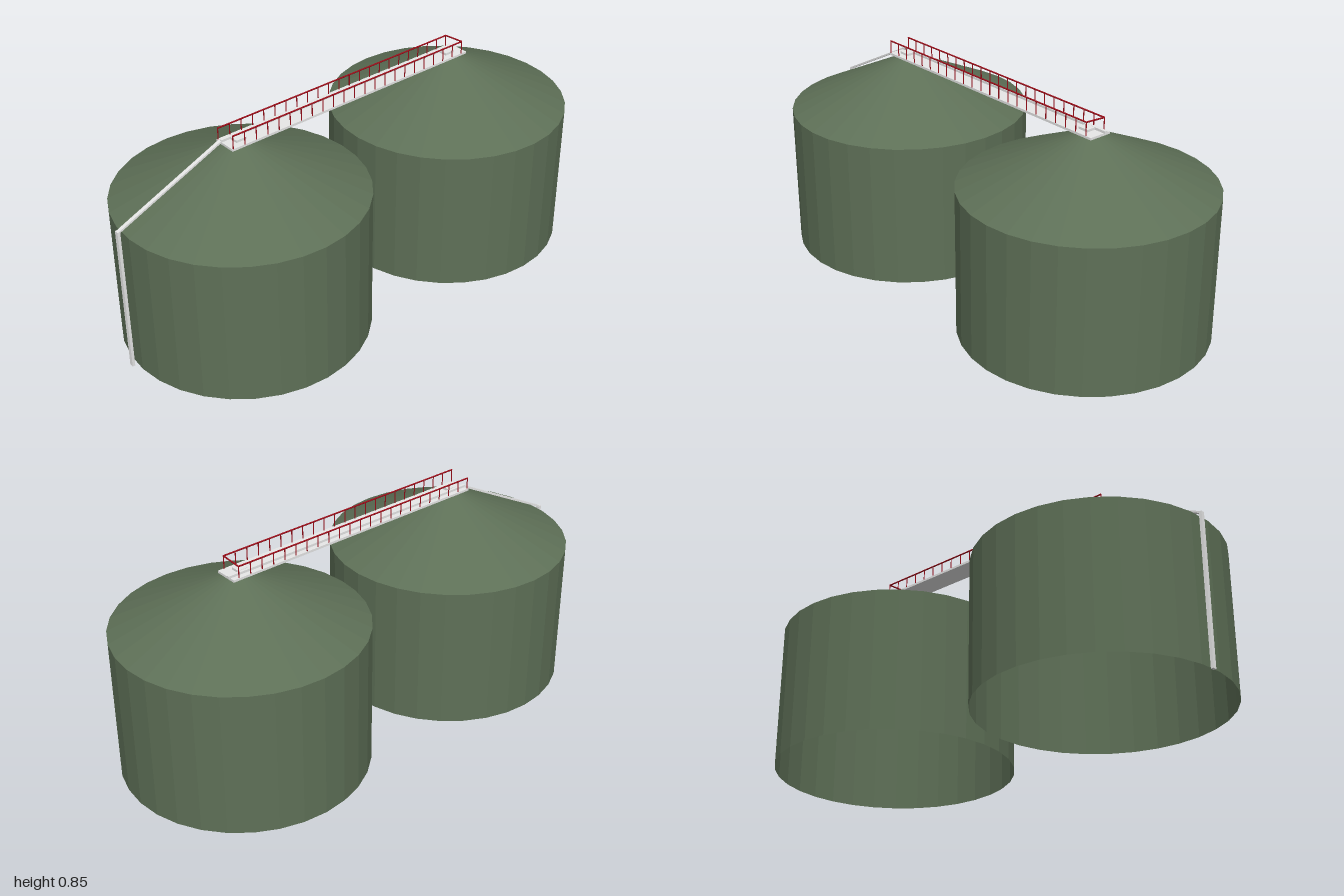
import * as THREE from 'three';

const green = new THREE.MeshStandardMaterial({ name: 'tankGreen', color: 0x5e7057, flatShading: true, side: THREE.DoubleSide });
const lightGrey = new THREE.MeshStandardMaterial({ name: 'lightGrey', color: 0xe8e8e8 });
const red = new THREE.MeshStandardMaterial({ name: 'railRed', color: 0x9a0c18 });

function box(parent, name, w, h, d, x, y, z) {
  const mesh = new THREE.Mesh(new THREE.BoxGeometry(w, h, d), lightGrey);
  mesh.name = name;
  mesh.position.set(x, y, z);
  parent.add(mesh);
  return mesh;
}

// Round rail running between two points
function rod(parent, name, from, to, radius) {
  const a = new THREE.Vector3(...from), b = new THREE.Vector3(...to);
  const geometry = new THREE.CylinderGeometry(radius, radius, a.distanceTo(b), 12);
  geometry.rotateX(Math.PI / 2);
  const mesh = new THREE.Mesh(geometry, red);
  mesh.name = name;
  mesh.position.copy(a).add(b).multiplyScalar(0.5);
  mesh.lookAt(b);
  parent.add(mesh);
}

export function createModel() {
  const model = new THREE.Group();
  model.name = 'storageTanks';

  // Two open-bottomed tanks with conical roofs
  const profile = [[0.475, 0.01], [0.475, 0.582], [0.04, 0.785], [0, 0.785]].map(p => new THREE.Vector2(...p));
  for (const [name, x] of [['rightTank', -0.509], ['leftTank', 0.524]]) {
    const tank = new THREE.Mesh(new THREE.LatheGeometry(profile, 32), green);
    tank.name = name;
    tank.position.x = x;
    model.add(tank);
  }

  // Walkway between the roof peaks
  box(model, 'walkway', 1.145, 0.009, 0.094, 0.003, 0.789, 0);

  // Handrails on both sides, with evenly spaced posts
  const railing = new THREE.Group();
  railing.name = 'railing';
  model.add(railing);
  const x0 = -0.565, x1 = 0.55, count = 22;
  for (const [z, top] of [[0.045, 0.844], [-0.043, 0.838]]) {
    rod(railing, 'handrail', [x0, top, z], [x1, top, z], 0.003);
    for (let i = 0; i <= count; i++) {
      const x = x0 + (x1 - x0) * i / count;
      rod(railing, 'post', [x, 0.79, z], [x, top, z], 0.002);
    }
  }
  rod(railing, 'endRail', [x1, 0.844, 0.045], [x1, 0.838, -0.043], 0.003);

  // Feed pipe along the walkway, down the roof and the tank side
  const pipe = new THREE.Group();
  pipe.name = 'feedPipe';
  model.add(pipe);
  box(pipe, 'topPipe', 1.152, 0.009, 0.011, 0.006, 0.798, -0.022);
  const top = new THREE.Vector3(-0.566, 0.797, -0.025), bend = new THREE.Vector3(-0.992, 0.587, -0.054);
  const roofPipe = box(pipe, 'roofPipe', 0.015, 0.007, top.distanceTo(bend), 0, 0, 0);
  roofPipe.position.copy(top).add(bend).multiplyScalar(0.5);
  roofPipe.lookAt(bend);
  box(pipe, 'downPipe', 0.011, 0.59, 0.016, -0.9935, 0.295, -0.054);

  // Outlets branching off above each tank
  for (const x of [-0.511, 0.511]) {
    box(pipe, 'outlet', 0.044, 0.009, 0.036, x, 0.7985, 0.003);
  }
  return model;
}
